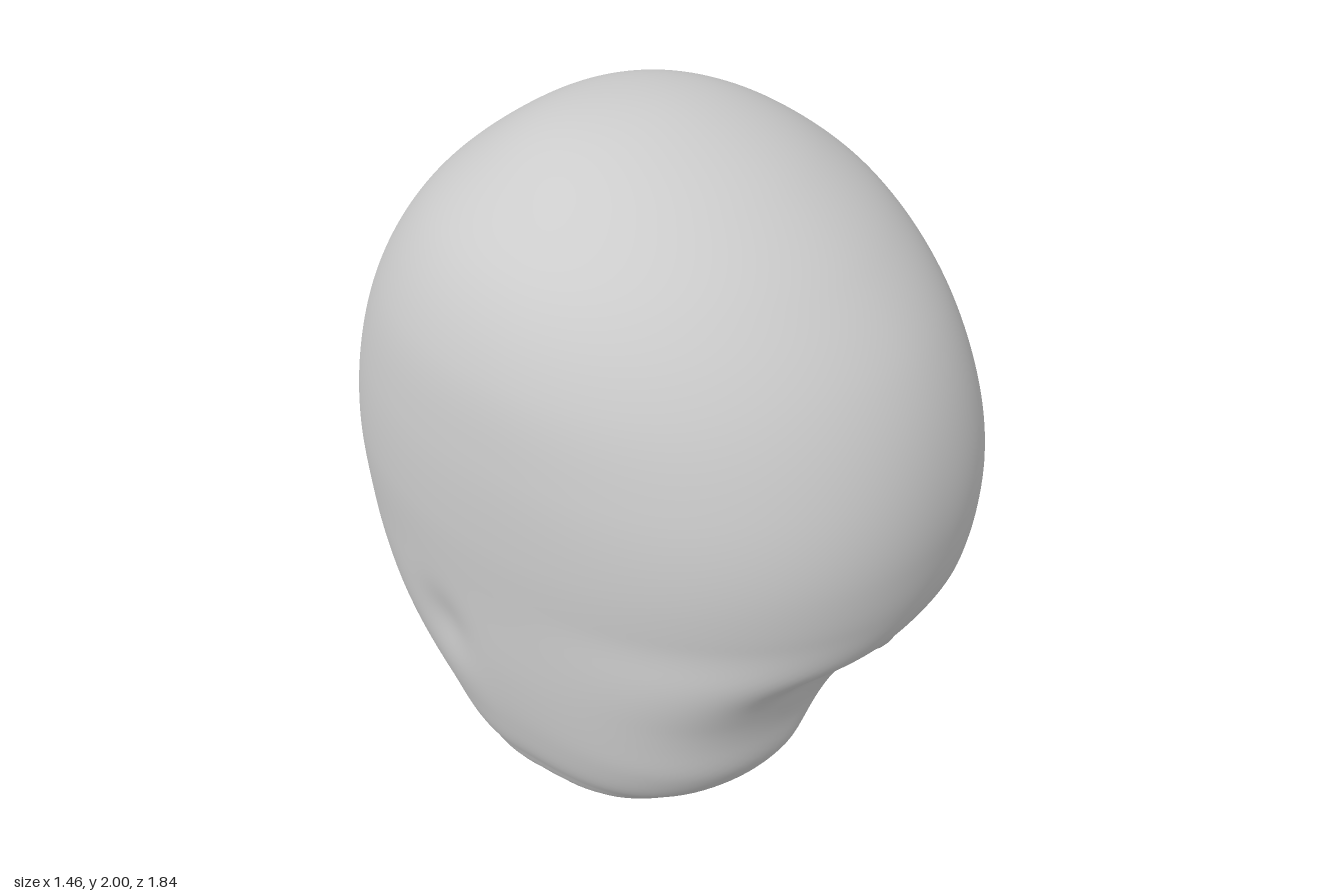
import * as THREE from 'three';
import { mergeVertices } from 'three/addons/utils/BufferGeometryUtils.js';

// Outline of the head at 15 degree steps from crown to base: half width, front z, back z
const WIDTH = [0, 0.24, 0.43, 0.595, 0.69, 0.725, 0.73, 0.715, 0.70, 0.67, 0.62, 0.51, 0];
const FRONT = [-0.04, 0.17, 0.40, 0.615, 0.79, 0.89, 0.92, 0.875, 0.705, 0.66, 0.54, 0.36, 0];
const BACK = [-0.04, -0.27, -0.45, -0.625, -0.765, -0.865, -0.915, -0.90, -0.835, -0.75, -0.6, -0.36, 0];
const TOP = 2, BASE = 0.08;
// Point inside the head from which the surface is found
const CORE = new THREE.Vector3(0, 1.3, -0.1);

// Smooth interpolation through a table, u from 0 to 1
function sample(table, u) {
  const n = table.length - 1, s = u * n, i = Math.min(Math.floor(s), n - 1), t = s - i;
  const b = table[i], c = table[i + 1];
  const a = i > 0 ? table[i - 1] : 2 * b - c;
  const d = i < n - 1 ? table[i + 2] : 2 * c - b;
  return b + 0.5 * t * (c - a + t * (2 * a - 5 * b + 4 * c - d + t * (3 * (b - c) + d - a)));
}

const { smoothstep } = THREE.MathUtils;
const smin = (a, b, k) => {
  const h = Math.max(k - Math.abs(a - b), 0) / k;
  return Math.min(a, b) - h * h * k / 4;
};
const smax = (a, b, k) => -smin(-a, -b, k);
const bump = (dx, dy, dz) => Math.exp(-(dx * dx + dy * dy + dz * dz));

// Field that is negative inside the head
function field({ x: px, y, z }) {
  const x = Math.abs(px);

  // Slices: rounder forehead, full square cheeks, narrow lower back
  const yc = Math.min(Math.max(y, BASE), TOP), half = (TOP - BASE) / 2;
  const u = Math.acos(Math.min(Math.max((yc - BASE) / half - 1, -1), 1)) / Math.PI;
  const w = Math.max(sample(WIDTH, u), 0.001);
  const f = sample(FRONT, u), b = sample(BACK, u);
  const d = Math.max((f - b) / 2, 0.001), zc = (f + b) / 2;
  const power = z > zc
    ? 2.2 - 0.25 * smoothstep(y, 1, 1.6) + 0.9 * (1 - smoothstep(y, 0.5, 0.9))
    : 2.15 - 0.3 * (1 - smoothstep(y, 0.3, 0.8));
  const rho = Math.pow(Math.pow(x / w, power) + Math.pow(Math.abs(z - zc) / d, power), 1 / power);
  let F = (rho - 1) * Math.min(w, d) + Math.abs(y - yc);

  // Wedge-shaped hollow between the cheeks
  const slope = (z - 0.03 - 1.17 * (y - 0.08)) / 1.54;
  const side = (0.04 + 0.68 * (0.59 - y) - x) * 0.85;
  F = smax(F, smin(slope, side, 0.2), 0.1);

  // Pair of rounded lobes blended into the base
  const ex = (x - 0.19) / 0.28, ey = (y - 0.25) / 0.25, ez = (z + 0.13) / 0.28;
  F = smin(F, (Math.hypot(ex, ey, ez) - 1) * 0.25, 0.18);

  // Eye hollows, ear dents and the nape
  F += 0.03 * bump((x - 0.28) / 0.18, (y - 0.67) / 0.08, (z - 0.7) / 0.2);
  F += 0.025 * bump((x - 0.7) / 0.15, (y - 0.62) / 0.11, (z + 0.22) / 0.1);
  F += 0.035 * bump((x - 0.45) / 0.16, (y - 0.22) / 0.14, (z + 0.4) / 0.16);
  return F;
}

export function createModel() {
  const group = new THREE.Group();
  group.name = 'head';

  // Push every point of a sphere out along its ray to the surface
  let geometry = new THREE.IcosahedronGeometry(1, 56);
  geometry.deleteAttribute('uv');
  geometry.deleteAttribute('normal');
  geometry = mergeVertices(geometry, 1e-5);
  const pos = geometry.attributes.position;
  const ray = new THREE.Vector3(), p = new THREE.Vector3();
  for (let i = 0; i < pos.count; i++) {
    ray.fromBufferAttribute(pos, i).normalize();
    let lo = 0.05, hi = 1.7;
    for (let k = 0; k < 24; k++) {
      const r = (lo + hi) / 2;
      if (field(p.copy(CORE).addScaledVector(ray, r)) < 0) lo = r; else hi = r;
    }
    p.copy(CORE).addScaledVector(ray, lo);
    pos.setXYZ(i, p.x, p.y, p.z);
  }
  geometry.computeVertexNormals();
  geometry.computeBoundingBox();
  geometry.translate(0, -geometry.boundingBox.min.y, 0);

  const skull = new THREE.Mesh(geometry, new THREE.MeshStandardMaterial({ color: 0xcccccc }));
  skull.name = 'skull';
  group.add(skull);
  return group;
}
